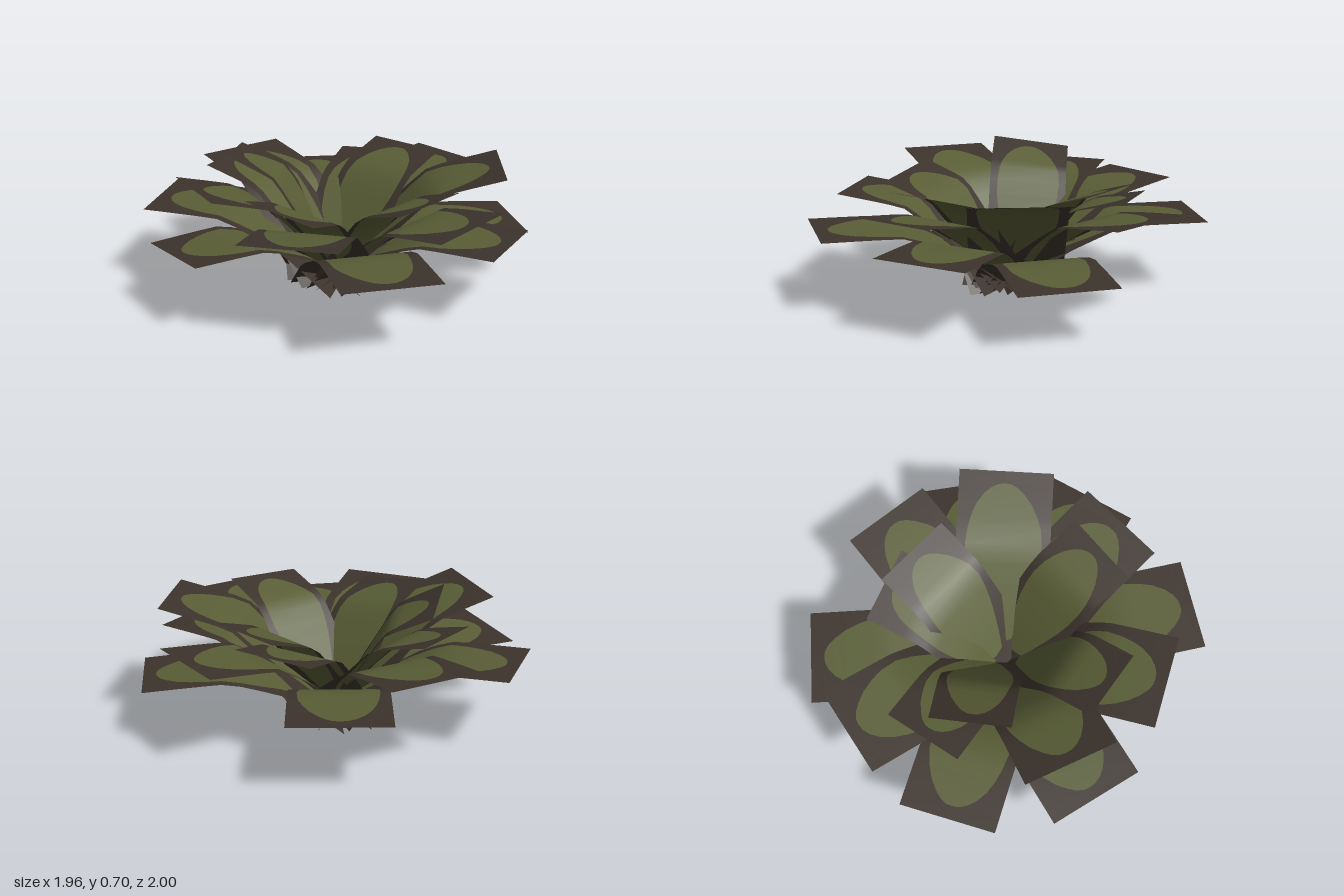
import * as THREE from 'three';

// Two outer corners of every leaf card: x, z, y, x, z, y (lowest ring first)
const LEAVES = [
  // low outer ring
  [0.98, 0.085, 0.265, 0.93, -0.39, 0.27],
  [-0.94, 0.16, 0.325, -0.72, 0.59, 0.36],
  [-0.26, -1, 0.37, 0.22, -1, 0.37],
  [0.645, 0.695, 0.37, 0.915, 0.305, 0.365],
  [-0.1, 0.995, 0.38, 0.375, 0.925, 0.375],
  [-0.98, -0.13, 0.395, -0.81, -0.58, 0.4],
  // middle ring
  [0.555, -0.775, 0.5, 0.83, -0.39, 0.5],
  [-0.54, 0.675, 0.5, -0.09, 0.845, 0.505],
  [-0.665, -0.695, 0.5, -0.25, -0.93, 0.505],
  [0.38, 0.775, 0.5, 0.745, 0.465, 0.52],
  [0.11, -0.7, 0.52, 0.465, -0.51, 0.54],
  [-0.41, -0.605, 0.58, -0.65, -0.285, 0.57],
  // steep inner ring
  [-0.805, 0.025, 0.615, -0.635, 0.47, 0.63],
  [0.8, 0.29, 0.625, 0.86, -0.19, 0.63],
  [0.285, -0.61, 0.6, 0.575, -0.3, 0.6],
  [-0.485, 0.36, 0.595, -0.18, 0.605, 0.54],
  [0.22, 0.615, 0.58, 0.545, 0.375, 0.6],
  [-0.46, -0.41, 0.65, -0.55, -0.02, 0.7],
];

// Outline of the green blade on a card: length fraction, left and right half width
const BLADE = [
  [0, 0, 0], [0.13, 0, 0], [0.15, 0.3, 0.26], [0.25, 0.46, 0.42], [0.35, 0.62, 0.56],
  [0.45, 0.74, 0.69], [0.55, 0.8, 0.78], [0.64, 0.8, 0.82], [0.72, 0.76, 0.79],
  [0.78, 0.7, 0.7], [0.84, 0.6, 0.57], [0.89, 0.45, 0.4], [0.92, 0.3, 0.26],
  [0.937, 0.14, 0.12], [0.94, 0, 0], [1, 0, 0],
];

function leafGeometry([x1, z1, y1, x2, z2, y2], baseY) {
  let a = new THREE.Vector3(x1, y1, z1), b = new THREE.Vector3(x2, y2, z2);
  const outward = (p, q) => new THREE.Vector3(q.z - p.z, 0, p.x - q.x).normalize();
  const tip = a.clone().add(b).multiplyScalar(0.5);
  if (outward(a, b).dot(tip) < 0) [a, b] = [b, a];
  const dir = outward(a, b);
  const half = b.clone().sub(a).multiplyScalar(0.5);
  const r = tip.dot(dir), y = tip.y;
  const root = tip.clone().addScaledVector(dir, -r);

  // Side profile: steep near the root, then two nearly straight lengths to the tip
  const spine = new THREE.CatmullRomCurve3([
    [-0.02, baseY], [0.25 * r, 0.15 + 0.2 * y], [0.57 * r, 0.12 + 0.65 * y], [r, y],
  ].map(([d, h]) => new THREE.Vector3(d, h, 0)), false, 'catmullrom', 0.15);

  const positions = [], index = [], groups = [[], [], []];
  BLADE.forEach(([t, left, right], i) => {
    const p = spine.getPointAt(t);
    for (const u of [-1, -left, right, 1]) {
      positions.push(
        root.x + dir.x * p.x + half.x * u,
        p.y + half.y * u * t,
        root.z + dir.z * p.x + half.z * u,
      );
    }
    if (i === 0) return;
    for (let k = 0; k < 3; k++) {
      const c = i * 4 + k, d = c - 4;
      groups[k].push(d, d + 1, c + 1, d, c + 1, c);
    }
  });

  // Brown strips on both sides, green blade between them
  const geometry = new THREE.BufferGeometry();
  geometry.setAttribute('position', new THREE.Float32BufferAttribute(positions, 3));
  groups.forEach((g, k) => {
    geometry.addGroup(index.length, g.length, k === 1 ? 1 : 0);
    index.push(...g);
  });
  geometry.setIndex(index);
  geometry.computeVertexNormals();
  return geometry;
}

export function createModel() {
  const brown = new THREE.MeshStandardMaterial({ color: 0x3c332c, side: THREE.DoubleSide });
  brown.name = 'dark brown';
  const green = new THREE.MeshStandardMaterial({ color: 0x595e36, side: THREE.DoubleSide });
  green.name = 'olive green';

  const plant = new THREE.Group();
  plant.name = 'rosettePlant';
  LEAVES.forEach((corners, i) => {
    const ring = i < 6 ? 'outerLeaf' : i < 12 ? 'middleLeaf' : 'innerLeaf';
    const leaf = new THREE.Mesh(leafGeometry(corners, ((i * 5) % 6) * 0.008), [brown, green]);
    leaf.name = ring + (i % 6 + 1);
    plant.add(leaf);
  });
  return plant;
}
